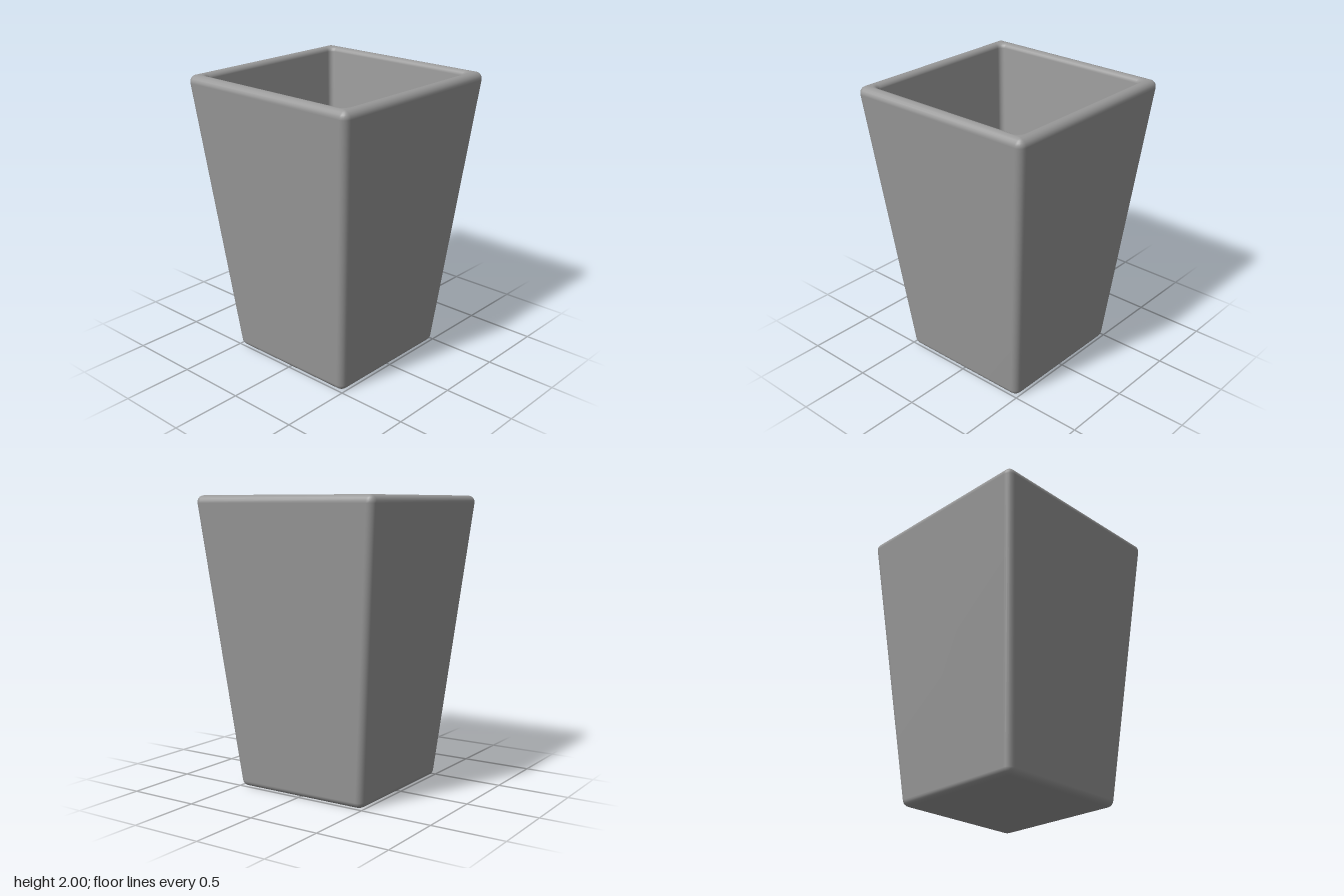
import * as THREE from 'three';

const SEG = 5; // steps per rounded corner

// Points of an arc that rounds the profile corner p between a and b
function fillet(a, p, b, r) {
  const u = a.clone().sub(p).normalize(), v = b.clone().sub(p).normalize();
  const half = Math.acos(u.dot(v)) / 2;
  const start = p.clone().addScaledVector(u, r / Math.tan(half));
  const end = p.clone().addScaledVector(v, r / Math.tan(half));
  const mid = u.clone().add(v).normalize();
  const c = p.clone().addScaledVector(mid, r / Math.sin(half));
  const s = start.sub(c), e = end.sub(c), sweep = Math.PI - 2 * half;
  return Array.from({ length: SEG + 1 }, (_, i) => {
    const t = i / SEG;
    return c.clone()
      .addScaledVector(s, Math.sin((1 - t) * sweep) / Math.sin(sweep))
      .addScaledVector(e, Math.sin(t * sweep) / Math.sin(sweep));
  });
}

// Hollow square pot: rounded-square rings stacked along a wall profile
function potGeometry() {
  // half-width, height: base, outer wall, rim, inner wall, floor
  const P = [[0, 0], [0.497, 0], [0.7, 2], [0.612, 2], [0.407, 0.1], [0, 0.1]]
    .map(([x, y]) => new THREE.Vector2(x, y));
  const radii = [0, 0.045, 0.048, 0.036, 0.025];
  const wallX = (a, b, y) => a.x + (b.x - a.x) * (y - a.y) / (b.y - a.y);

  const pos = [], idx = [];
  let rings = 0;
  for (let k = 1; k <= 4; k++) {
    for (const q of fillet(P[k - 1], P[k], P[k + 1], radii[k])) {
      // vertical corner radius shrinks or grows with the offset from the wall
      const r = Math.max(0.003, k < 3
        ? 0.05 - (wallX(P[1], P[2], q.y) - q.x)
        : 0.04 + (q.x - wallX(P[4], P[3], q.y)));
      for (let c = 0; c < 4; c++) {
        const mid = (c + 0.5) * Math.PI / 2;
        const cx = Math.sign(Math.cos(mid)) * (q.x - r);
        const cz = Math.sign(Math.sin(mid)) * (q.x - r);
        for (let i = 0; i <= SEG; i++) {
          const a = (c + i / SEG) * Math.PI / 2;
          pos.push(cx + r * Math.cos(a), q.y, cz + r * Math.sin(a));
        }
      }
      rings++;
    }
  }

  const n = 4 * (SEG + 1);
  for (let j = 0; j < rings - 1; j++) {
    for (let i = 0; i < n; i++) {
      const a = j * n + i, c = j * n + (i + 1) % n;
      idx.push(a, a + n, c, a + n, c + n, c);
    }
  }

  // underside and inside floor
  const base = rings * n, floor = base + 1, last = (rings - 1) * n;
  pos.push(0, P[0].y, 0, 0, P[5].y, 0);
  for (let i = 0; i < n; i++) {
    const k = (i + 1) % n;
    idx.push(base, i, k, floor, last + k, last + i);
  }

  const g = new THREE.BufferGeometry();
  g.setAttribute('position', new THREE.Float32BufferAttribute(pos, 3));
  g.setIndex(idx);
  g.computeVertexNormals();
  return g;
}

export function createModel() {
  const group = new THREE.Group();
  group.name = 'squarePlanter';
  const grey = new THREE.MeshStandardMaterial({ color: 0x999999 });
  grey.name = 'grey';
  const pot = new THREE.Mesh(potGeometry(), grey);
  pot.name = 'pot';
  group.add(pot);
  return group;
}
